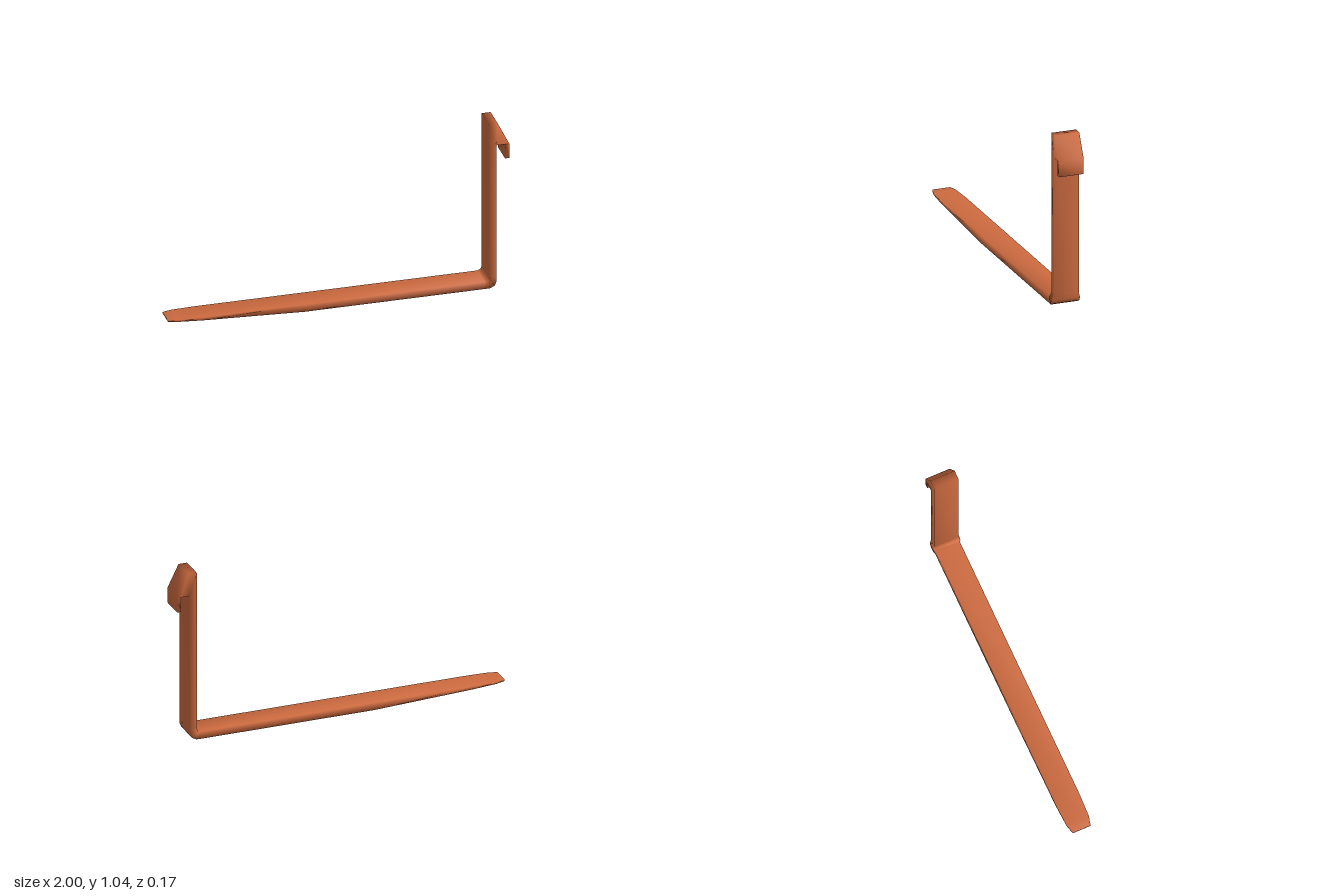
import * as THREE from 'three';
import { mergeVertices } from 'three/addons/utils/BufferGeometryUtils.js';

// Smoothly shaded bar lofted through rectangular sections:
// [innerX, innerY, outerX, outerY, halfWidth]
function loftBar(sections) {
  const pos = [], index = [];
  for (const [ix, iy, ox, oy, w] of sections) {
    pos.push(ix, iy, w, ix, iy, -w, ox, oy, -w, ox, oy, w);
  }
  for (let s = 0; s < sections.length - 1; s++) {
    for (let k = 0; k < 4; k++) {
      const a = s * 4 + k, b = s * 4 + (k + 1) % 4;
      index.push(a, a + 4, b + 4, a, b + 4, b);
    }
  }
  const e = pos.length / 3 - 4;
  index.push(0, 1, 2, 0, 2, 3, e, e + 2, e + 1, e, e + 3, e + 2);
  let geo = new THREE.BufferGeometry();
  geo.setAttribute('position', new THREE.Float32BufferAttribute(pos, 3));
  geo.setIndex(index);
  geo = mergeVertices(geo);
  geo.computeVertexNormals();
  return geo;
}

export function createModel() {
  const group = new THREE.Group();
  group.name = 'liftingFork';
  const paint = new THREE.MeshStandardMaterial({ color: 0xcc6a3f });
  paint.name = 'orange paint';

  const fork = new THREE.Mesh(loftBar([
    // tapered blade
    [-1, 0.045, -1, 0.036, 0.055],
    [-0.945, 0.045, -0.945, 0.034, 0.069],
    [-0.8, 0.045, -0.8, 0.027, 0.075],
    [-0.2, 0.045, -0.2, 0, 0.075],
    [0.855, 0.045, 0.86, 0, 0.075],
    // thickened, rounded heel
    [0.868, 0.047, 0.885, 0.004, 0.082],
    [0.877, 0.055, 0.912, 0.018, 0.083],
    [0.88, 0.062, 0.922, 0.04, 0.083],
    // upright shank
    [0.88, 0.075, 0.925, 0.07, 0.075],
    // hook head and hanging lip
    [0.88, 1.037, 0.925, 0.9, 0.075],
    [0.932, 1.037, 0.925, 0.9, 0.075],
    [1, 0.9, 0.975, 0.9, 0.075],
    [1, 0.81, 0.975, 0.81, 0.075],
  ]), paint);
  fork.name = 'forkBladeShankAndHook';
  group.add(fork);
  return group;
}
